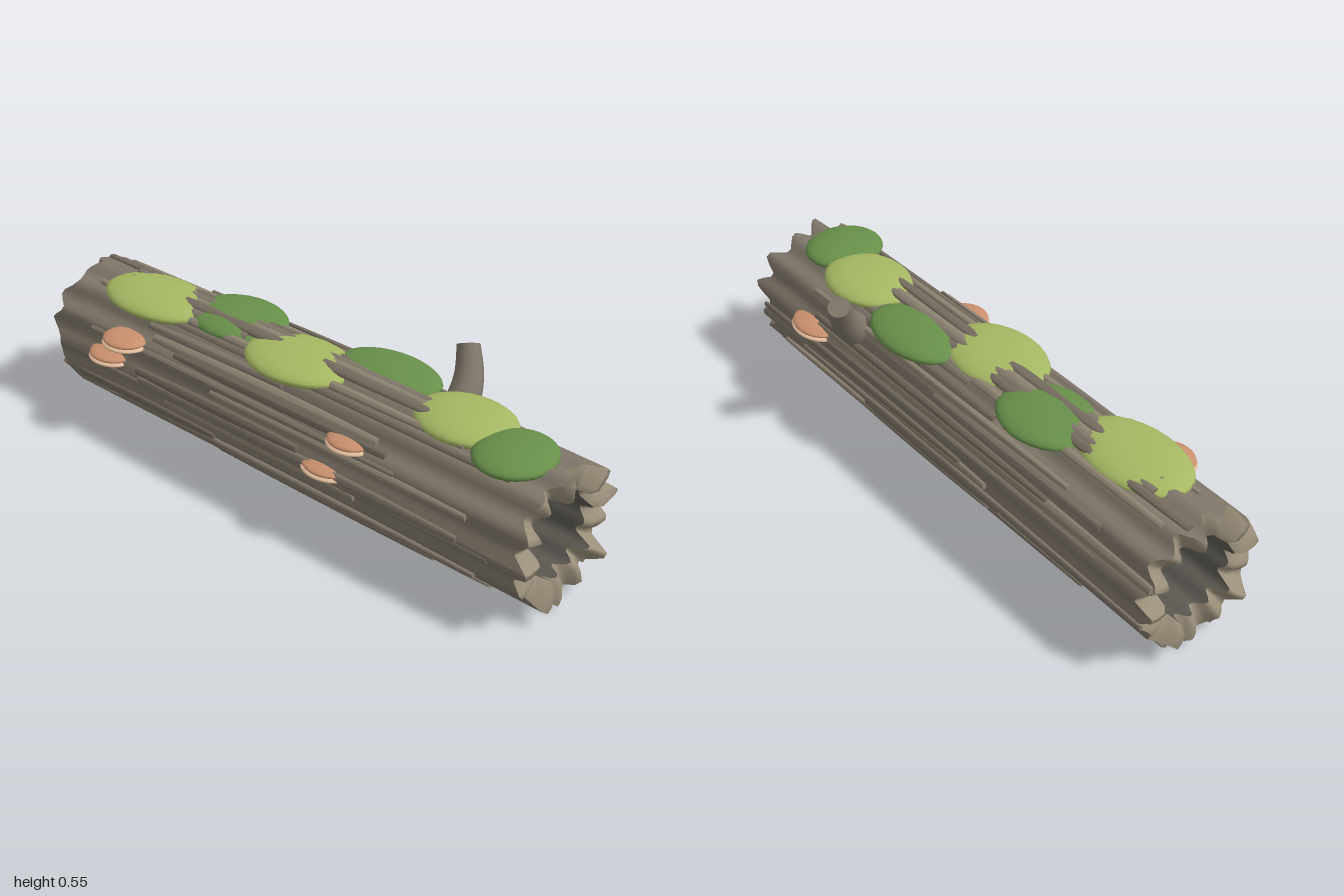
import * as THREE from 'three';

const mat = (color) => new THREE.MeshStandardMaterial({ color, roughness: 0.9 });
const bark = mat(0x80776a), barkDark = mat(0x756c5f), barkLight = mat(0x8d8372);
const wood = mat(0x9a8f7a), hollow = mat(0x5c5952);
const mossLight = mat(0xa5b863), mossDark = mat(0x688f4a);
const capMat = mat(0xc9906e), gillMat = mat(0xe2bd9c);

const LOBES = 13, SIDES = 78, CY = 0.239;

function seeded(seed) {
  return () => (seed = (seed * 16807) % 2147483647) / 2147483647;
}

// Gentle bow of the trunk along its length
const axisY = (x) => CY + 0.008 * (1 - x * x) - 0.002 * x;
const axisZ = (x) => 0.006 + 0.004 * x;

// Lobed outer and inner radii, and the splintered length of each end
const outerR = (a, x) => 0.209 + 0.01 * Math.cos(LOBES * a + 0.5 * x) + 0.004 * Math.sin(3 * a + x);
const innerR = (a) => 0.133 + 0.006 * Math.cos(10 * a + 0.5);
function endX(a, s) {
  const saw = Math.abs(((a * LOBES / (2 * Math.PI) + (s > 0 ? 0.1 : 0.4)) % 1) * 2 - 1);
  return s * (0.912 + 0.06 * saw + 0.024 * Math.sin(5 * a + s) * saw);
}

// Skin between closed rings; each ring maps an angle to [x, radius]
function skin(name, rings, material) {
  const pos = [], idx = [], w = SIDES + 1;
  rings.forEach((ring, i) => {
    for (let j = 0; j <= SIDES; j++) {
      const a = ((j % SIDES) / SIDES) * Math.PI * 2;
      const [x, r] = ring(a);
      pos.push(x, axisY(x) + r * Math.sin(a), axisZ(x) + r * Math.cos(a));
      if (i && j < SIDES) {
        const p = (i - 1) * w + j, q = i * w + j;
        idx.push(p, q, q + 1, p, q + 1, p + 1);
      }
    }
  });
  const g = new THREE.BufferGeometry();
  g.setAttribute('position', new THREE.Float32BufferAttribute(pos, 3));
  g.setIndex(idx);
  g.computeVertexNormals();
  const m = new THREE.Mesh(g, material);
  m.name = name;
  return m;
}

function ellipsoid(name, material, p, r) {
  const m = new THREE.Mesh(new THREE.SphereGeometry(1, 28, 16), material);
  m.name = name;
  m.position.set(...p);
  m.scale.set(...r);
  return m;
}

function makeTrunk() {
  const g = new THREE.Group();
  g.name = 'trunk';
  const outer = [], inner = [], N = 16;
  for (let i = 0; i <= N; i++) {
    const t = i / N;
    const along = (a) => THREE.MathUtils.lerp(endX(a, -1), endX(a, 1), t);
    outer.push((a) => [along(a), outerR(a, along(a))]);
    inner.unshift((a) => [along(a) * 0.98, innerR(a)]);
  }
  // Rounded, splintered rim from the bark to the hollow
  const rim = (s) => [
    (a) => [endX(a, s), outerR(a, endX(a, s))],
    (a) => [endX(a, s) * 1.004, outerR(a, s) - 0.02],
    (a) => [endX(a, s), innerR(a) + 0.018],
    (a) => [endX(a, s) * 0.98, innerR(a)],
  ];
  g.add(skin('outerBark', outer, bark), skin('rightRim', rim(-1).reverse(), wood),
    skin('leftRim', rim(1), wood), skin('hollowCore', inner, hollow));
  return g;
}

// Flattened, blunt-ended bark strips following the trunk
function makeStrips() {
  const g = new THREE.Group();
  g.name = 'barkStrips';
  const rnd = seeded(4711), COUNT = 46;
  for (let i = 0; i < COUNT; i++) {
    const a = ((i + rnd() * 0.6) / COUNT) * Math.PI * 2;
    const len = 0.5 + rnd() * 1.15;
    const mid = (rnd() * 2 - 1) * (0.96 - len / 2);
    const width = 0.013 + rnd() * 0.009, thick = 0.008 + rnd() * 0.003;
    const twist = (rnd() - 0.5) * 0.06, lift = 0.213 + rnd() * 0.009;
    const geo = new THREE.CylinderGeometry(1, 1, len, 10, 10);
    const p = geo.attributes.position;
    for (let k = 0; k < p.count; k++) {
      const t = p.getY(k) / len, x = mid + t * len;
      const taper = 1 - 1.4 * t * t;
      const ang = a + twist * t - p.getX(k) * width * taper / lift;
      const r = lift + p.getZ(k) * thick * taper;
      p.setXYZ(k, x, axisY(x) + r * Math.sin(ang), axisZ(x) + r * Math.cos(ang));
    }
    geo.computeVertexNormals();
    const m = new THREE.Mesh(geo, [bark, barkDark, barkLight][i % 3]);
    m.name = 'barkStrip';
    g.add(m);
  }
  // Loose splinter touching the ground
  const splinter = new THREE.Mesh(new THREE.CylinderGeometry(0.005, 0.007, 0.95, 6), barkDark);
  splinter.name = 'looseSplinter';
  splinter.rotation.z = -Math.PI / 2 - 0.021;
  splinter.position.set(0.29, 0.016, 0);
  g.add(splinter);
  return g;
}

// Bent, tapering broken branch
function makeBranch() {
  const g = new THREE.Group();
  g.name = 'branchStub';
  const curve = new THREE.CatmullRomCurve3([
    new THREE.Vector3(0.45, 0.34, -0.115), new THREE.Vector3(0.445, 0.395, -0.17),
    new THREE.Vector3(0.43, 0.455, -0.213), new THREE.Vector3(0.395, 0.53, -0.25)]);
  const SEG = 10, RAD = 14;
  const geo = new THREE.TubeGeometry(curve, SEG, 1, RAD);
  const p = geo.attributes.position, v = new THREE.Vector3();
  for (let k = 0; k < p.count; k++) {
    const t = Math.floor(k / (RAD + 1)) / SEG, c = curve.getPointAt(t);
    v.fromBufferAttribute(p, k).sub(c).multiplyScalar(0.06 - 0.025 * t).add(c);
    p.setXYZ(k, v.x, v.y, v.z);
  }
  geo.computeVertexNormals();
  const tube = new THREE.Mesh(geo, bark);
  tube.name = 'branch';
  const end = new THREE.Mesh(new THREE.CircleGeometry(0.035, RAD), bark);
  end.name = 'brokenEnd';
  end.position.copy(curve.getPointAt(1));
  end.quaternion.setFromUnitVectors(new THREE.Vector3(0, 0, 1), curve.getTangentAt(1));
  g.add(tube, end);
  return g;
}

export function createModel() {
  const model = new THREE.Group();
  model.name = 'hollowLog';
  model.add(makeTrunk(), makeStrips(), makeBranch());

  // Moss pads: x, z, half length, half width
  [[-0.615, 0.05, 0.205, 0.13], [-0.325, -0.025, 0.17, 0.135], [-0.01, 0.045, 0.19, 0.135],
    [0.24, -0.08, 0.18, 0.11], [0.57, -0.02, 0.165, 0.13], [0.78, 0.03, 0.12, 0.13],
  ].forEach(([x, z, rx, rz], i) => {
    const light = i % 2 === 0;
    model.add(ellipsoid('mossPad', light ? mossLight : mossDark,
      [x, 0.444, z], [rx, light ? 0.036 : 0.034, rz]));
  });

  // Shelf mushrooms: x, y, z, half width
  [[-0.61, 0.355, 0.2, 0.083], [-0.69, 0.272, 0.19, 0.085], [0.31, 0.356, 0.17, 0.08],
    [0.24, 0.248, 0.19, 0.092], [0.64, 0.305, -0.18, 0.1],
  ].forEach(([x, y, z, w]) => {
    const shelf = new THREE.Group();
    shelf.name = 'shelfMushroom';
    shelf.position.set(x, y, z);
    shelf.add(ellipsoid('mushroomCap', capMat, [0, 0.006, 0], [w * 0.95, 0.016, 0.07]),
      ellipsoid('mushroomUnderside', gillMat, [0, -0.007, 0], [w, 0.014, 0.074]));
    model.add(shelf);
  });
  return model;
}
